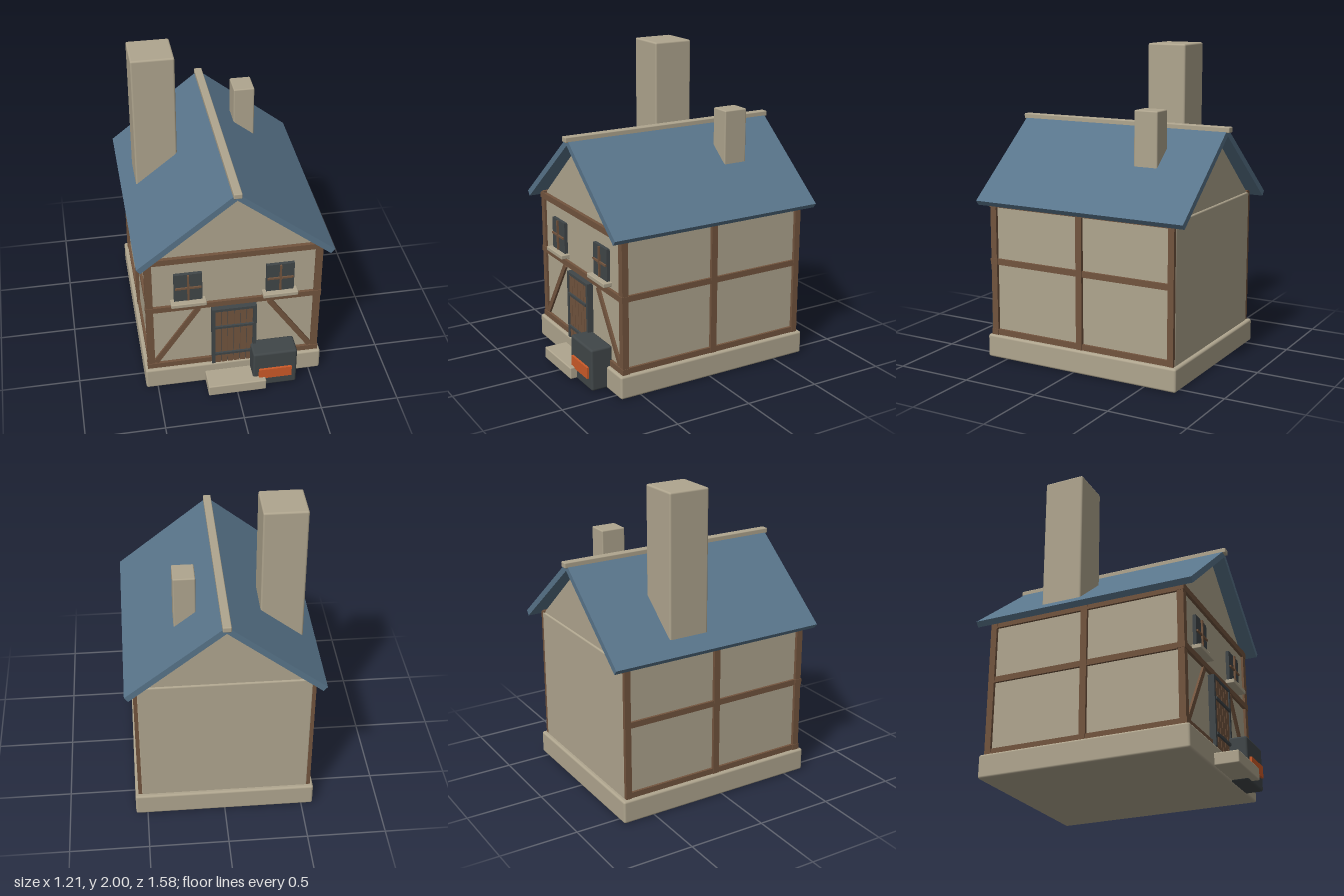
import * as THREE from 'three';
import { RoundedBoxGeometry } from 'three/addons/geometries/RoundedBoxGeometry.js';

const mat = (name, color) => {
  const m = new THREE.MeshStandardMaterial({ color });
  m.name = name;
  return m;
};

export function createModel() {
  const house = new THREE.Group();
  house.name = 'house';
  const stone = mat('stone', 0xafa58e);
  const wood = mat('timber', 0x72543e);
  const slate = mat('slate', 0x58748a);
  const iron = mat('iron', 0x404648);
  const ember = mat('ember', 0xcc5a28);

  const add = (name, geometry, material, parent = house) => {
    const m = new THREE.Mesh(geometry, material);
    m.name = name;
    parent.add(m);
    return m;
  };
  // Box from its extents; a radius rounds its edges
  const box = (name, material, [x0, x1], [y0, y1], [z0, z1], radius = 0, parent = house) => {
    const s = [x1 - x0, y1 - y0, z1 - z0];
    const g = radius ? new RoundedBoxGeometry(...s, 2, radius) : new THREE.BoxGeometry(...s);
    const m = add(name, g, material, parent);
    m.position.set((x0 + x1) / 2, (y0 + y1) / 2, (z0 + z1) / 2);
    return m;
  };
  // Extents on the +x or -x side
  const side = (s, a, b) => (s > 0 ? [a, b] : [-b, -a]);

  // Masonry
  box('foundation', stone, [-0.575, 0.575], [0, 0.15], [-0.715, 0.64], 0.014);
  box('walls', stone, [-0.535, 0.535], [0.13, 1.03], [-0.69, 0.6], 0.01);
  box('doorstep', stone, [-0.19, 0.185], [0.012, 0.09], [0.6, 0.79], 0.008);
  box('largeChimney', stone, [-0.515, -0.245], [1.05, 2], [-0.352, -0.085], 0.012);
  box('smallChimney', stone, [0.155, 0.29], [1.15, 1.63], [-0.435, -0.275], 0.008);

  // Gable block under the roof
  const tri = new THREE.Shape([
    new THREE.Vector2(-0.525, 1.025),
    new THREE.Vector2(0.525, 1.025),
    new THREE.Vector2(0, 1.475),
  ]);
  const gable = add('gable', new THREE.ExtrudeGeometry(tri, { depth: 1.275, bevelEnabled: false }), stone);
  gable.position.z = -0.68;

  // Roof slopes, cut plumb at the ridge and square at the eaves
  for (const s of [-1, 1]) {
    const pts = [[0, 1.517], [0.607, 1.032], [0.583, 1.002], [0, 1.469]];
    const shape = new THREE.Shape(pts.map(([x, y]) => new THREE.Vector2(s * x, y)));
    const slope = add(s > 0 ? 'leftRoof' : 'rightRoof',
      new THREE.ExtrudeGeometry(shape, { depth: 1.455, bevelEnabled: false }), slate);
    slope.position.z = -0.768;
  }
  box('ridgeBeam', stone, [-0.026, 0.026], [1.491, 1.526], [-0.787, 0.705], 0.006);

  // Timber frame on the sides
  for (const s of [-1, 1]) {
    const x = side(s, 0.51, 0.555);
    box('frontPost', wood, x, [0.15, 1.04], [0.573, 0.615]);
    box('middlePost', wood, x, [0.15, 1.03], [-0.057, -0.015]);
    box('backPost', wood, x, [0.15, 1.04], [-0.688, -0.648]);
    for (const [y0, y1] of [[0.15, 0.187], [0.617, 0.655], [0.99, 1.028]])
      box('sideRail', wood, side(s, 0.51, 0.551), [y0, y1], [-0.686, 0.61]);
  }

  // Timber frame on the front
  for (const [y0, y1] of [[0.15, 0.187], [0.617, 0.655], [0.99, 1.03]])
    box('frontRail', wood, [-0.558, 0.558], [y0, y1], [0.57, 0.619]);
  for (const s of [-1, 1]) {
    const brace = add('brace', new THREE.BoxGeometry(0.035, 0.5, 0.03), wood);
    brace.position.set(s * 0.365, 0.402, 0.599);
    brace.rotation.z = s * Math.atan2(0.28, 0.42);
  }

  // Windows
  for (const s of [-1, 1]) {
    const w = new THREE.Group();
    w.name = s > 0 ? 'leftWindow' : 'rightWindow';
    w.position.x = s * 0.289;
    house.add(w);
    box('pane', iron, [-0.088, 0.088], [0.698, 0.903], [0.59, 0.622], 0, w);
    box('mullion', wood, [-0.006, 0.006], [0.705, 0.9], [0.6, 0.634], 0, w);
    box('glazingBar', wood, [-0.082, 0.082], [0.794, 0.806], [0.6, 0.632], 0, w);
    box('sill', stone, [-0.111, 0.111], [0.67, 0.698], [0.59, 0.658], 0.005, w);
  }

  // Door: frame, planks and straps
  box('doorBacking', iron, [-0.13, 0.13], [0.15, 0.59], [0.59, 0.622]);
  for (const s of [-1, 1])
    box('doorJamb', iron, side(s, 0.122, 0.143), [0.15, 0.605], [0.59, 0.64]);
  box('doorLintel', iron, [-0.143, 0.143], [0.586, 0.605], [0.59, 0.64]);
  for (let i = 0; i < 6; i++) {
    const x = -0.121 + i * 0.0405;
    box('doorPlank', wood, [x, x + 0.036], [0.15, 0.585], [0.6, 0.634]);
  }
  for (const y of [0.232, 0.458])
    box('doorStrap', iron, [-0.125, 0.125], [y - 0.008, y + 0.008], [0.61, 0.647]);

  // Forge beside the door
  box('forge', iron, [0.106, 0.392], [0.005, 0.28], [0.6, 0.745], 0.014);
  box('forgeFire', ember, [0.142, 0.356], [0.08, 0.155], [0.7, 0.76]);

  return house;
}
